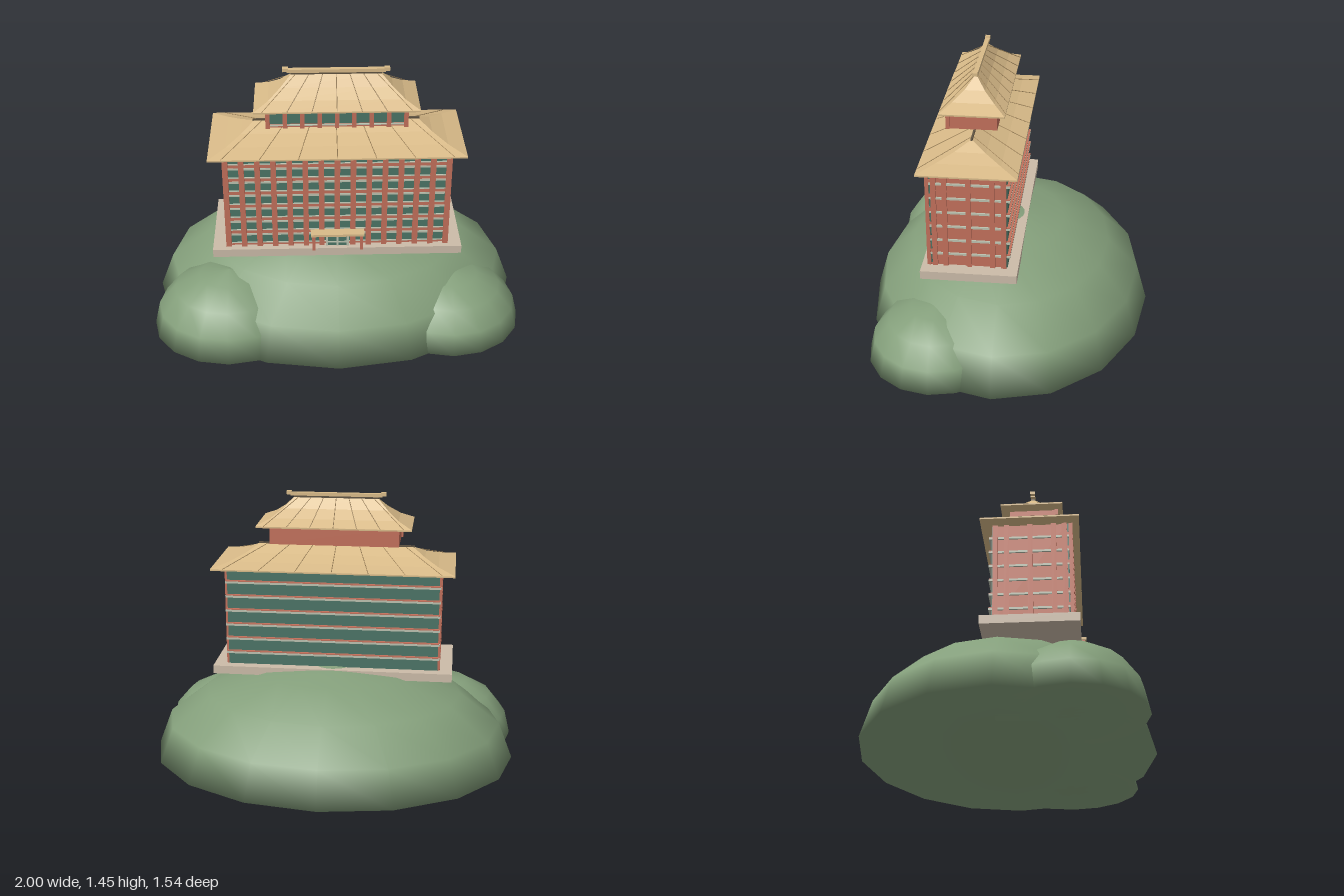
import * as THREE from 'three';

const mat = (name, color, extra = {}) => {
  const m = new THREE.MeshStandardMaterial({ color, ...extra });
  m.name = name;
  return m;
};

export function createModel() {
  const root = new THREE.Group();
  root.name = 'hilltopHall';
  const grass = mat('grass', 0x849f7b);
  const red = mat('redPaint', 0xc2705b);
  const glass = mat('greenGlass', 0x4b7466);
  const tile = mat('roofTile', 0xd8ba88, { side: THREE.DoubleSide, flatShading: true });
  const ribTile = mat('ribTile', 0xa98c60);
  const trim = mat('darkTrim', 0x5f5341);
  const stone = mat('stone', 0xcbbba8);
  const ledge = mat('paleLedge', 0xbcc2b0);

  const group = (name) => {
    const g = new THREE.Group();
    g.name = name;
    root.add(g);
    return g;
  };
  // Box given by its limits on each axis
  const box = (parent, name, m, x0, x1, y0, y1, z0, z1) => {
    const b = new THREE.Mesh(new THREE.BoxGeometry(x1 - x0, y1 - y0, z1 - z0), m);
    b.position.set((x0 + x1) / 2, (y0 + y1) / 2, (z0 + z1) / 2);
    b.name = name;
    parent.add(b);
    return b;
  };

  // Hill: half domes with flat bottoms and a softly shaded rim
  const hill = group('hill');
  [['mainHill', 0, 0, 1, 0.52, 0.77],
    ['rightMound', -0.58, 0.35, 0.42, 0.35, 0.37],
    ['leftMound', 0.61, 0.32, 0.39, 0.305, 0.37]].forEach(([name, x, z, rx, h, rz]) => {
    const profile = [new THREE.Vector2(0, 0)];
    for (let i = 0; i <= 4; i++) {
      const a = (i * Math.PI) / 8;
      profile.push(new THREE.Vector2(i < 4 ? rx * Math.cos(a) : 0, h * Math.sin(a)));
    }
    const d = new THREE.Mesh(new THREE.LatheGeometry(profile, 16), grass);
    d.name = name;
    d.position.set(x, 0, z);
    d.scale.z = rz / rx;
    hill.add(d);
  });

  // Podium and main block
  box(root, 'podium', stone, -0.655, 0.655, 0.465, 0.51, -0.095, 0.4);
  const hall = group('mainHall');
  box(hall, 'core', red, -0.575, 0.575, 0.51, 1.053, -0.035, 0.345);
  box(hall, 'frontGlass', glass, -0.579, 0.579, 0.51, 1.05, 0.345, 0.352);
  box(hall, 'backGlass', glass, -0.575, 0.575, 0.51, 1.05, -0.041, -0.035);

  // Floors: red band and pale ledge all round
  const floors = 7, step = 0.08;
  for (let i = 0; i < floors; i++) {
    const y = 0.498 + i * step;
    if (i > 0) {
      box(hall, 'floorLedge', ledge, -0.584, 0.584, y - 0.006, y + 0.005, -0.055, 0.359);
      box(hall, 'backBalcony', red, -0.58, 0.58, y + 0.005, y + 0.011, -0.054, -0.03);
    }
    box(hall, 'frontSpandrel', red, -0.58, 0.58, y + 0.005, y + 0.024, 0.34, 0.355);
    box(hall, 'frontRail', ledge, -0.575, 0.575, y + 0.024, y + 0.029, 0.345, 0.358);
  }

  // Front columns and side pilasters
  for (let i = 0; i < 15; i++) {
    const x = -0.571 + (i * 1.142) / 14;
    box(hall, 'frontColumn', red, x - 0.014, x + 0.014, 0.51, 1.053, 0.353, 0.372);
  }
  for (const s of [-1, 1]) {
    for (const z of [0.33, 0.275, 0.155, 0.035, -0.022]) {
      const b = box(hall, 'sidePilaster', red, 0.56, 0.588, 0.51, 1.053, z - 0.013, z + 0.013);
      b.position.x *= s;
    }
  }

  // Entrance porch
  const porch = group('entrancePorch');
  box(porch, 'canopy', tile, -0.14, 0.14, 0.598, 0.611, 0.37, 0.425);
  for (const x of [-0.125, 0.125]) box(porch, 'porchPost', red, x - 0.008, x + 0.008, 0.51, 0.598, 0.402, 0.418);
  box(porch, 'door', glass, -0.055, 0.055, 0.51, 0.592, 0.368, 0.374);
  for (const x of [-0.055, 0, 0.055]) box(porch, 'doorFrame', ledge, x - 0.006, x + 0.006, 0.51, 0.596, 0.37, 0.378);
  for (const y of [0.533, 0.59]) box(porch, 'doorRail', ledge, -0.055, 0.055, y - 0.004, y + 0.004, 0.37, 0.378);

  // Upper storey
  const upper = group('upperStorey');
  box(upper, 'upperCore', red, -0.35, 0.35, 1.175, 1.275, 0.035, 0.28);
  box(upper, 'upperGlass', glass, -0.345, 0.345, 1.197, 1.268, 0.28, 0.284);
  box(upper, 'upperRail', ledge, -0.35, 0.35, 1.187, 1.192, 0.28, 0.29);
  for (let i = 0; i < 9; i++) {
    const x = -0.349 + i * 0.08725;
    box(upper, 'upperColumn', red, x - 0.011, x + 0.011, 1.175, 1.275, 0.276, 0.295);
  }

  // Hipped roof from rectangular rings [halfX, y, halfZ], with straight ribs
  const cz = 0.155;
  const roof = (name, rings) => {
    const g = group(name);
    const pos = [], idx = [];
    for (const [x, y, z] of rings) pos.push(-x, y, cz + z, x, y, cz + z, x, y, cz - z, -x, y, cz - z);
    for (let r = 0; r < rings.length - 1; r++) {
      for (let k = 0; k < 4; k++) {
        const a = r * 4 + k, b = r * 4 + (k + 1) % 4;
        idx.push(a, b, b + 4, a, b + 4, a + 4);
      }
    }
    const geo = new THREE.BufferGeometry();
    geo.setAttribute('position', new THREE.Float32BufferAttribute(pos, 3));
    geo.setIndex(idx);
    geo.computeVertexNormals();
    const skin = new THREE.Mesh(geo, tile);
    skin.name = 'roofTiles';
    g.add(skin);
    const [x0, y0, z0] = rings[0], [x1, y1, z1] = rings[rings.length - 1];
    box(g, 'eave', tile, -x0, x0, y0 - 0.009, y0 - 0.001, cz - z0, cz + z0);
    for (const s of [-1, 1]) {
      for (let i = -3; i <= 3; i++) {
        const f = i * 0.3;
        const path = new THREE.LineCurve3(
          new THREE.Vector3(f * x0, y0, cz + s * z0),
          new THREE.Vector3(f * x1, y1, cz + s * z1));
        const rib = new THREE.Mesh(new THREE.TubeGeometry(path, 1, 0.002, 4), ribTile);
        rib.name = 'roofRib';
        g.add(rib);
      }
    }
    return g;
  };

  const low = roof('lowerRoof', [[0.655, 1.06, 0.252], [0.565, 1.083, 0.163], [0.49, 1.113, 0.08], [0.425, 1.15, 0.006]]);
  box(low, 'lowerRidge', trim, -0.43, 0.43, 1.149, 1.158, cz - 0.005, cz + 0.005);
  const top = roof('upperRoof', [[0.418, 1.281, 0.165], [0.345, 1.315, 0.107], [0.285, 1.359, 0.052], [0.23, 1.412, 0.008]]);

  // Ridge cap with raised ends
  box(top, 'ridgeBase', trim, -0.23, 0.23, 1.408, 1.424, cz - 0.008, cz + 0.008);
  box(top, 'ridgeCap', tile, -0.25, 0.25, 1.422, 1.44, cz - 0.012, cz + 0.012);
  for (const x of [-0.257, 0.257]) box(top, 'ridgeEnd', tile, x - 0.014, x + 0.014, 1.428, 1.446, cz - 0.013, cz + 0.013);

  return root;
}
